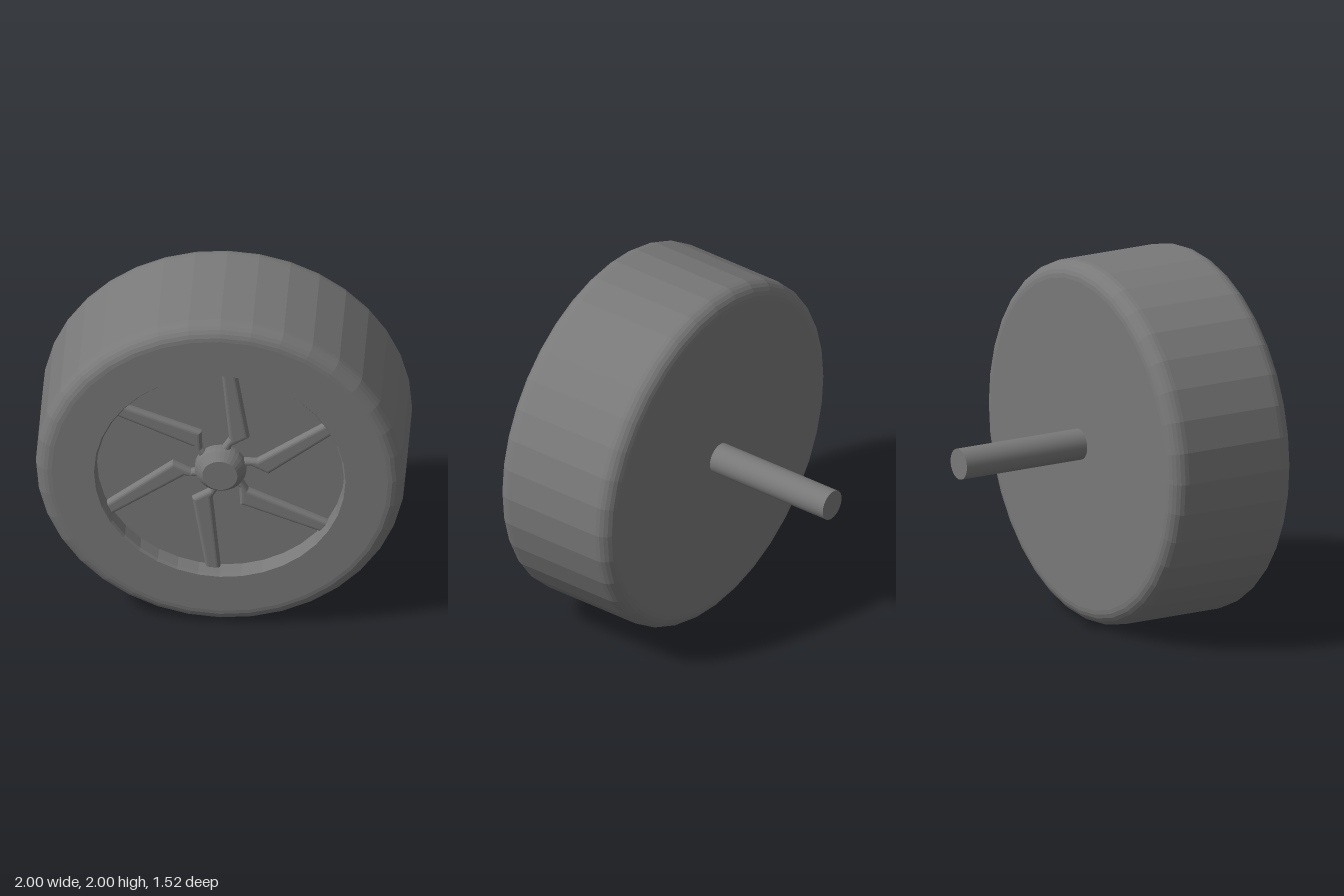
import * as THREE from 'three';

const material = new THREE.MeshStandardMaterial({ color: 0x797979, flatShading: true });
const smooth = new THREE.MeshStandardMaterial({ color: 0x797979 });

// Solid of revolution around z, from [radius, z] points running back to front
function turned(name, points, segments) {
  const geometry = new THREE.LatheGeometry(points.map(([r, z]) => new THREE.Vector2(r, z)), segments);
  geometry.rotateX(Math.PI / 2);
  const mesh = new THREE.Mesh(geometry, material);
  mesh.name = name;
  return mesh;
}

// Quarter-round corner between two angles
function fillet(r, z, radius, from, to, steps = 6) {
  return Array.from({ length: steps + 1 }, (_, i) => {
    const a = from + (to - from) * i / steps;
    return [r + radius * Math.cos(a), z + radius * Math.sin(a)];
  });
}

export function createModel() {
  const model = new THREE.Group();
  model.name = 'wheel';
  const wheel = new THREE.Group();
  wheel.name = 'wheelAssembly';
  wheel.position.y = 1;
  model.add(wheel);

  // Tyre with closed back, rounded shoulders and a recessed disc
  wheel.add(turned('tyre', [
    [0, 0],
    ...fillet(0.91, 0.09, 0.09, -Math.PI / 2, 0),
    ...fillet(0.91, 0.67, 0.09, 0, Math.PI / 2),
    [0.68, 0.76], [0.67, 0.745], [0.67, 0.66], [0, 0.66],
  ], 36));

  // Hub cap with a steep chamfer
  wheel.add(turned('hub', [[0.14, 0.65], [0.14, 0.69], [0.133, 0.71], [0.095, 0.755], [0, 0.755]], 32));

  // Six bent spokes with rounded edges
  const outline = [[0, 0.685], [0.045, 0.2], [-0.01, 0.11], [0.05, 0.11], [0.06, 0.15], [0.155, 0.21], [0.08, 0.685]];
  const spokeGeometry = new THREE.ExtrudeGeometry(
    new THREE.Shape(outline.map(([x, y]) => new THREE.Vector2(x, y))),
    { depth: 0.03, bevelThickness: 0.022, bevelSize: 0.022, bevelOffset: -0.022, bevelSegments: 4 },
  );
  for (let i = 0; i < 6; i++) {
    const spoke = new THREE.Mesh(spokeGeometry, material);
    spoke.name = `spoke${i + 1}`;
    spoke.position.z = 0.643;
    spoke.rotation.z = i * Math.PI / 3;
    wheel.add(spoke);
  }

  // Axle out of the back
  const axle = new THREE.Mesh(new THREE.CylinderGeometry(0.085, 0.085, 0.77, 32).rotateX(Math.PI / 2), smooth);
  axle.name = 'axle';
  axle.position.z = -0.375;
  wheel.add(axle);

  return model;
}
